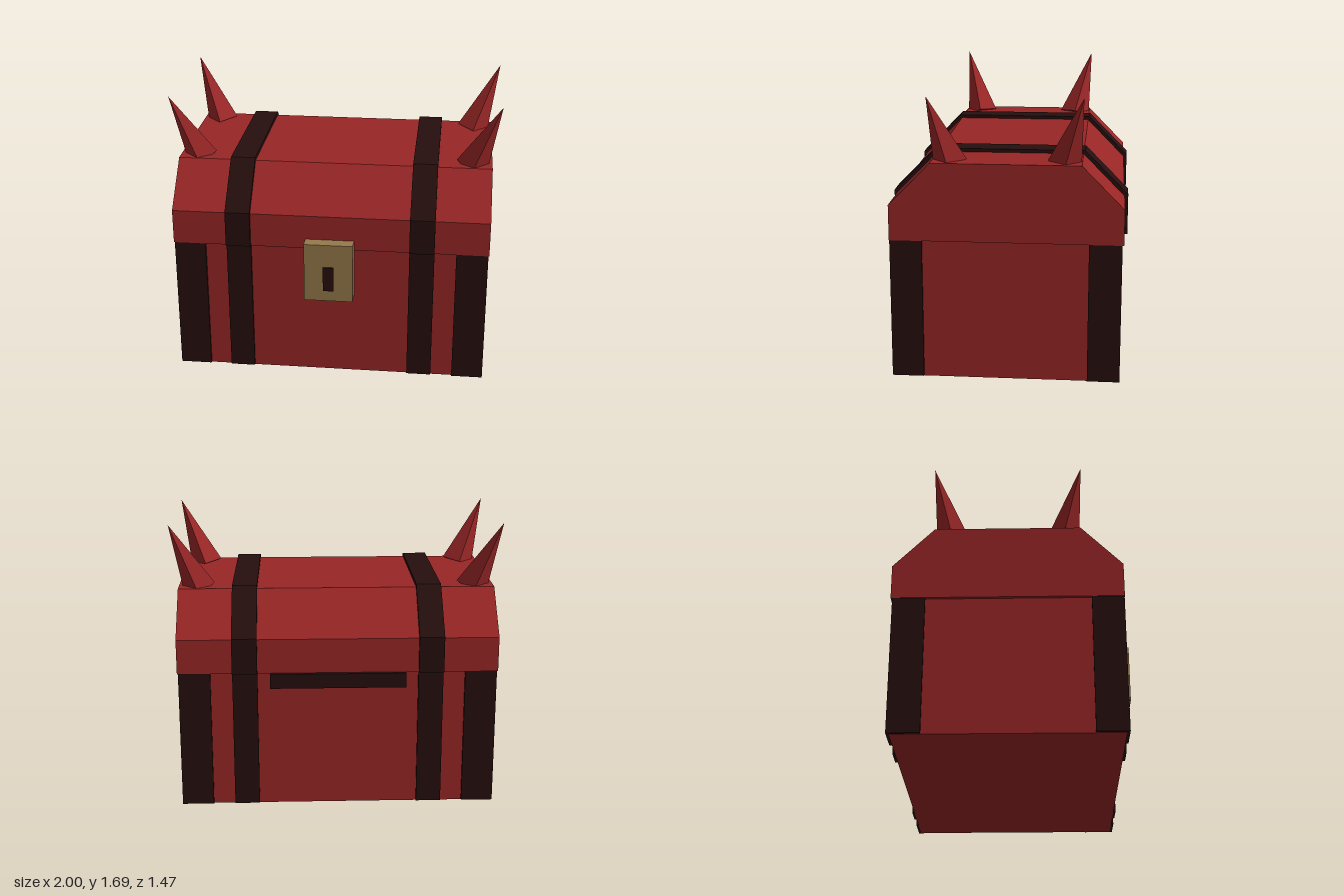
import * as THREE from 'three';

const flat = (name, color) => {
  const m = new THREE.MeshStandardMaterial({ color });
  m.name = name;
  return m;
};

export function createModel() {
  const red = flat('red', 0x992626);
  const dark = flat('dark', 0x260e0e);
  const brass = flat('brass', 0x977a4b);
  const chest = new THREE.Group();
  chest.name = 'chest';
  const midZ = -0.0325; // the chest's own middle, front to back

  const add = (name, geometry, material) => {
    const mesh = new THREE.Mesh(geometry, material);
    mesh.name = name;
    chest.add(mesh);
    return mesh;
  };

  // Box given by its limits on each axis
  const box = (name, material, [x0, x1], [y0, y1], [z0, z1]) => {
    const mesh = add(name, new THREE.BoxGeometry(x1 - x0, y1 - y0, z1 - z0), material);
    mesh.position.set((x0 + x1) / 2, (y0 + y1) / 2, (z0 + z1) / 2);
  };

  // Bevelled lid section (halfDepth, shoulder, halfTop, top), extruded along x
  const lidSection = (name, material, x, width, half, bottom, shoulder, halfTop, top) => {
    const points = [
      [-half, bottom], [half, bottom], [half, shoulder],
      [halfTop, top], [-halfTop, top], [-half, shoulder],
    ].map(([a, b]) => new THREE.Vector2(a, b));
    const geometry = new THREE.ExtrudeGeometry(new THREE.Shape(points), { depth: width, bevelEnabled: false });
    geometry.translate(0, 0, -width / 2).rotateY(Math.PI / 2);
    add(name, geometry, material).position.set(x, 0, midZ);
  };

  // Body and lid
  box('body', red, [-0.935, 0.935], [0, 0.85], [-0.685, 0.627]);
  lidSection('lid', red, 0, 1.91, 0.677, 0.84, 1.05, 0.432, 1.3);

  for (const side of [-1, 1]) {
    const label = side > 0 ? 'left' : 'right';
    const span = (a, b) => (side > 0 ? [a, b] : [-b, -a]);

    // Strap over the lid, continued down the front and back of the body
    lidSection(`${label}LidBand`, dark, side * 0.555, 0.15, 0.698, 0.843, 1.06, 0.442, 1.32);
    box(`${label}FrontStrap`, dark, span(0.48, 0.63), [0.003, 0.842], [0.6, 0.642]);
    box(`${label}BackStrap`, dark, span(0.48, 0.63), [0.003, 0.842], [-0.7, -0.66]);

    // Corner posts
    box(`${label}FrontPost`, dark, span(0.76, 0.95), [0.003, 0.842], [0.455, 0.643]);
    box(`${label}BackPost`, dark, span(0.76, 0.95), [0.003, 0.842], [-0.701, -0.51]);

    // Four-sided horns leaning out towards the corners
    for (const end of [-1, 1]) {
      const base = new THREE.Vector3(side * 0.832, 1.28, midZ + end * 0.33);
      const tip = new THREE.Vector3(side * 0.998, 1.69, midZ + end * 0.44);
      const axis = tip.clone().sub(base);
      const length = axis.length();
      const horn = new THREE.ConeGeometry(0.1, length, 4).toNonIndexed();
      horn.computeVertexNormals();
      horn.translate(0, length / 2, 0);
      const mesh = add(`${label}${end > 0 ? 'Front' : 'Back'}Horn`, horn, red);
      mesh.position.copy(base);
      mesh.quaternion.setFromUnitVectors(new THREE.Vector3(0, 1, 0), axis.normalize());
    }
  }

  // Lock with keyhole, and hinge bar at the back
  box('lock', brass, [-0.147, 0.147], [0.53, 0.9], [0.62, 0.722]);
  box('keyhole', dark, [-0.032, 0.032], [0.6, 0.755], [0.7215, 0.731]);
  box('hingeBar', dark, [-0.405, 0.405], [0.753, 0.842], [-0.735, -0.67]);

  return chest;
}
